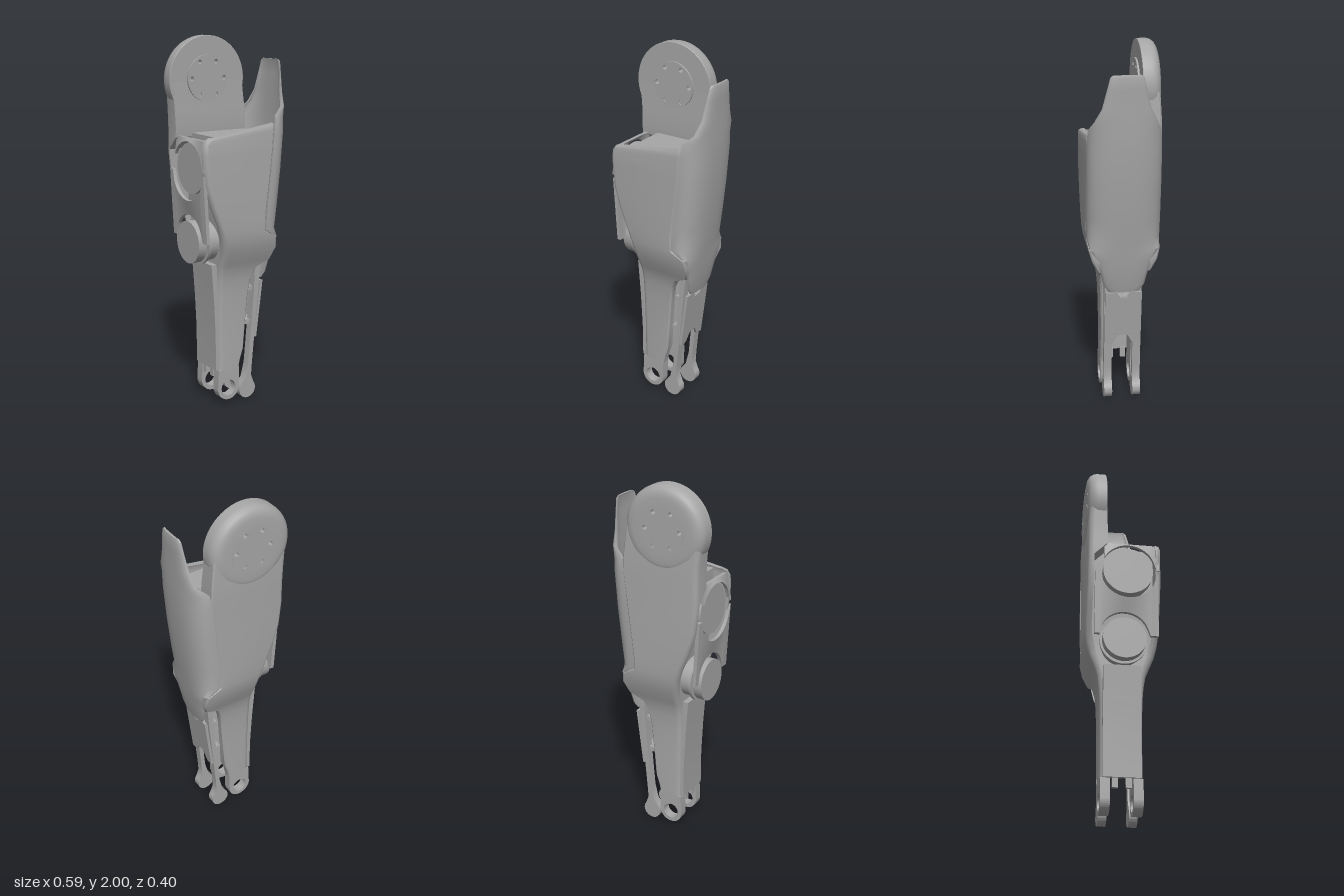
import * as THREE from 'three';
import { toCreasedNormals } from 'three/addons/utils/BufferGeometryUtils.js';

const grey = new THREE.MeshStandardMaterial({ color: 0xa6a6a6 });
grey.name = 'plain grey';

function add(group, name, geometry, crease = 0.6) {
  const mesh = new THREE.Mesh(crease ? toCreasedNormals(geometry, crease) : geometry, grey);
  mesh.name = name;
  group.add(mesh);
  return mesh;
}

// Closed solid from rings of [x, y, z]; each ring runs along one side and back along the other.
function loft(rings) {
  const n = rings[0].length, last = (rings.length - 1) * n, idx = [];
  for (let j = 0; j < rings.length - 1; j++) {
    for (let i = 0; i < n; i++) {
      const a = j * n + i, b = j * n + (i + 1) % n;
      idx.push(a, b, b + n, a, b + n, a + n);
    }
  }
  for (let i = 0; i < n / 2 - 1; i++) {
    const c = n - 1 - i, d = n - 2 - i;
    idx.push(i + 1, i, c, i + 1, c, d);
    idx.push(last + i, last + i + 1, last + c, last + i + 1, last + d, last + c);
  }
  // Turn the faces outward
  const pts = rings.flat().map(p => new THREE.Vector3(...p));
  let volume = 0;
  for (let i = 0; i < idx.length; i += 3) {
    volume += pts[idx[i]].dot(pts[idx[i + 1]].clone().cross(pts[idx[i + 2]]));
  }
  if (volume < 0) idx.reverse();
  const g = new THREE.BufferGeometry();
  g.setAttribute('position', new THREE.Float32BufferAttribute(rings.flat(2), 3));
  g.setIndex(idx);
  return g;
}

function extrude(shape, depth, z) {
  const g = new THREE.ExtrudeGeometry(shape, { depth, bevelEnabled: false, curveSegments: 32 });
  return g.translate(0, 0, z);
}

function circleHole(x, y, r) {
  return new THREE.Path().absarc(x, y, r, 0, Math.PI * 2, true);
}

// One level of a side plate, with rounded outer corners
function plateRing([y, xl, xr, d, t], side) {
  const r = Math.min(0.03, t * 0.8), q = 0.008;
  const outer = [[xl, d - r], [xl + r * 0.1, d - r * 0.6], [xl + r * 0.3, d - r * 0.3], [xl + r * 0.6, d - r * 0.08],
    [xl + r, d], [xr - q, d], [xr, d - q]];
  const lift = x => (side > 0 && y > 1.44 ? 0.2 * Math.max(0, x + 0.1) : 0);
  const ring = outer.map(([x, z]) => [x, y + lift(x), z * side]);
  return ring.concat(outer.map(([x]) => [x, y + lift(x), (d - t) * side]).reverse());
}

// Levels: y, left x, right x, depth, thickness
const plateRows = [
  [1.4, -0.27, 0.155, 0.196, 0.03], [1.25, -0.256, 0.138, 0.197, 0.03], [1.13, -0.22, 0.122, 0.197, 0.03],
  [1.03, -0.18, 0.112, 0.197, 0.03], [0.97, -0.16, 0.115, 0.195, 0.035], [0.93, -0.15, 0.19, 0.19, 0.04],
  [0.87, -0.14, 0.2, 0.175, 0.04], [0.8, -0.137, 0.18, 0.145, 0.04], [0.76, -0.136, 0.1, 0.13, 0.04],
  [0.7, -0.135, 0.07, 0.12, 0.04], [0.62, -0.135, 0.057, 0.113, 0.04], [0.45, -0.133, 0.042, 0.11, 0.045],
  [0.3, -0.132, 0.03, 0.11, 0.05], [0.24, -0.132, 0.01, 0.11, 0.05], [0.19, -0.133, 0, 0.11, 0.05],
];
const frontTop = [[1.495, -0.225, 0.165, 0.19, 0.03], [1.485, -0.25, 0.165, 0.194, 0.03], [1.46, -0.266, 0.163, 0.196, 0.03]];
const backTop = [[1.76, -0.285, 0.15, 0.19, 0.09], [1.62, -0.273, 0.165, 0.197, 0.1],
  [1.52, -0.27, 0.17, 0.197, 0.105], [1.47, -0.27, 0.165, 0.197, 0.1]];

// U-shaped level of the outer shell
function shellRing([y, xin, xout, hw]) {
  const arc = (x1, w) => Array.from({ length: 25 }, (_, i) => {
    const a = (i / 24 - 0.5) * Math.PI, c = Math.max(0, Math.cos(a)), s = Math.sin(a);
    return [xin + (x1 - xin) * c ** 0.8, y, w * Math.sign(s) * Math.abs(s) ** 0.8];
  });
  return arc(xout, hw).concat(arc(xout - 0.012, hw - 0.012).reverse());
}

// Thin panel on the open side; its upper and lower edges are functions of z
function sidePanel(z0, z1, low, high, xLow, xHigh) {
  return loft(Array.from({ length: 25 }, (_, i) => {
    const z = z0 + (z1 - z0) * i / 24;
    return [[xLow, low(z), z], [xHigh, high(z), z], [xHigh + 0.02, high(z), z], [xLow + 0.02, low(z), z]];
  }));
}

function boxRing([y, x0, x1, d]) {
  return [[x0, y, d], [x1, y, d], [x1, y, -d], [x0, y, -d]];
}

export function createModel() {
  const model = new THREE.Group();
  model.name = 'legLink';

  // Side plates and the eyes at their feet
  add(model, 'frontPlate', loft([...frontTop, ...plateRows].map(r => plateRing(r, 1))));
  add(model, 'backPlate', loft([...backTop, ...plateRows].map(r => plateRing(r, -1))));
  for (const side of [1, -1]) {
    const eye = new THREE.Shape();
    eye.moveTo(-0.133, 0.2);
    eye.lineTo(-0.138, 0.09);
    eye.absarc(-0.07, 0.09, 0.068, Math.PI, Math.PI * 2, false);
    eye.lineTo(0, 0.2);
    eye.holes.push(circleHole(-0.07, 0.09, 0.045));
    add(model, 'footEye', extrude(eye, 0.05, side > 0 ? 0.06 : -0.11));
  }

  // Core between the plates, with a deck on top
  const core = [[1.49, -0.17, 0.165, 0.18], [1.4, -0.17, 0.165, 0.18], [1.1, -0.15, 0.165, 0.18],
    [0.95, -0.13, 0.18, 0.17], [0.87, -0.13, 0.185, 0.15], [0.8, -0.13, 0.17, 0.12], [0.75, -0.13, 0.09, 0.11]];
  add(model, 'core', loft(core.map(boxRing)));

  // Hip disc: rounded rim and drilled hub
  const profile = [[0.12, -0.1], [0.228, -0.1], [0.23, -0.102], [0.23, -0.15], [0.225, -0.17], [0.213, -0.186],
    [0.195, -0.196], [0.17, -0.2], [0.12, -0.2], [0.12, -0.1]].map(p => new THREE.Vector2(p[0], -p[1])).reverse();
  const rim = new THREE.LatheGeometry(profile, 64);
  rim.rotateX(-Math.PI / 2).translate(-0.07, 1.77, 0);
  const rimMesh = add(model, 'hipRim', rim);
  rimMesh.material = grey.clone();
  rimMesh.material.side = THREE.DoubleSide;
  const hub = new THREE.Shape().absarc(-0.07, 1.775, 0.125, 0, Math.PI * 2, false);
  for (let i = 0; i < 6; i++) {
    const a = i * Math.PI / 3;
    hub.holes.push(circleHole(-0.07 + 0.1 * Math.cos(a), 1.775 + 0.1 * Math.sin(a), 0.012));
  }
  add(model, 'hipHub', extrude(hub, 0.111, -0.201));

  // Outer shell: y, inner x, outer x, half width
  const shell = [[1.872, 0.27, 0.285, 0.07], [1.86, 0.268, 0.288, 0.085], [1.8, 0.262, 0.286, 0.1],
    [1.7, 0.25, 0.284, 0.125], [1.63, 0.23, 0.283, 0.162], [1.58, 0.175, 0.282, 0.187], [1.5, 0.163, 0.28, 0.196],
    [1.3, 0.144, 0.265, 0.198], [1.1, 0.121, 0.244, 0.198], [0.98, 0.113, 0.227, 0.196], [0.93, 0.18, 0.22, 0.185],
    [0.87, 0.18, 0.213, 0.155], [0.8, 0.175, 0.203, 0.128], [0.72, 0.165, 0.188, 0.11], [0.68, 0.16, 0.178, 0.08]];
  add(model, 'outerShell', loft(shell.map(shellRing)));

  // Motors facing the open side: radius, x start, x end
  const motor = (name, y, z, steps) => steps.forEach(([r, x0, x1]) => {
    const g = new THREE.CylinderGeometry(r, r, x1 - x0, 48);
    add(model, name, g.rotateZ(Math.PI / 2).translate((x0 + x1) / 2, y, z));
  });
  motor('upperMotor', 1.32, 0.02, [[0.135, -0.25, -0.2], [0.125, -0.2, -0.12]]);
  motor('lowerMotor', 0.92, 0, [[0.115, -0.258, -0.21], [0.1, -0.21, -0.2], [0.125, -0.2, -0.185], [0.11, -0.185, -0.1]]);

  // Hood above the upper motor and strap between the motors
  const bulge = (z, z0, r) => Math.sqrt(Math.max(0, r * r - (z - z0) ** 2));
  add(model, 'motorHood', sidePanel(-0.11, 0.185, z => 1.32 + bulge(z, 0.02, 0.145),
    z => 1.48 - 0.3 * Math.max(0, z - 0.15), -0.268, -0.255));
  add(model, 'motorStrap', sidePanel(-0.16, 0.18, z => 0.94 + bulge(z, 0, 0.13),
    z => 1.3 - bulge(z, 0.02, 0.15), -0.25, -0.27));

  // Shin panel with two tabs
  const shin = [[0.8, -0.172, -0.14, 0.1], [0.6, -0.157, -0.13, 0.1], [0.4, -0.147, -0.125, 0.1], [0.2, -0.146, -0.125, 0.1]];
  add(model, 'shinPanel', loft(shin.map(boxRing)));
  for (const side of [1, -1]) {
    add(model, 'shinTab', new THREE.BoxGeometry(0.02, 0.06, 0.03).translate(-0.125, 0.18, side * 0.035));
  }

  // Pair of link rods with round ends
  for (const side of [1, -1]) {
    const rod = new THREE.Shape();
    rod.moveTo(0.11, 0.82);
    rod.lineTo(0.1, 0.6);
    rod.lineTo(0.065, 0.2);
    rod.lineTo(0.045, 0.12);
    rod.absarc(0.06, 0.053, 0.052, 2.5, Math.PI * 2 + 0.64, false);
    rod.lineTo(0.085, 0.13);
    rod.lineTo(0.09, 0.2);
    rod.lineTo(0.128, 0.6);
    rod.lineTo(0.148, 0.82);
    add(model, 'linkRod', extrude(rod, 0.045, side * 0.08 - 0.0225));
  }

  // Calf guard joining the rods, notched above and below
  const guardX = y => 0.12 + (y - 0.35) * 0.125;
  const guard = Array.from({ length: 21 }, (_, i) => {
    const z = -0.1 + i * 0.01, a = Math.abs(z);
    const y0 = a < 0.025 ? 0.405 : a < 0.055 ? 0.405 - (a - 0.025) * 1.8 : 0.35;
    const y1 = a < 0.02 ? 0.64 : a < 0.04 ? 0.64 + (a - 0.02) * 1.5 : 0.67;
    return [[guardX(y0), y0, z], [guardX(y1), y1, z], [guardX(y1) - 0.015, y1, z], [guardX(y0) - 0.015, y0, z]];
  });
  add(model, 'calfGuard', loft(guard));
  for (const [x, y] of [[0.11, 0.63], [0.09, 0.44]]) {
    add(model, 'crossBar', new THREE.BoxGeometry(0.08, 0.025, 0.17).translate(x, y, 0));
  }
  return model;
}
